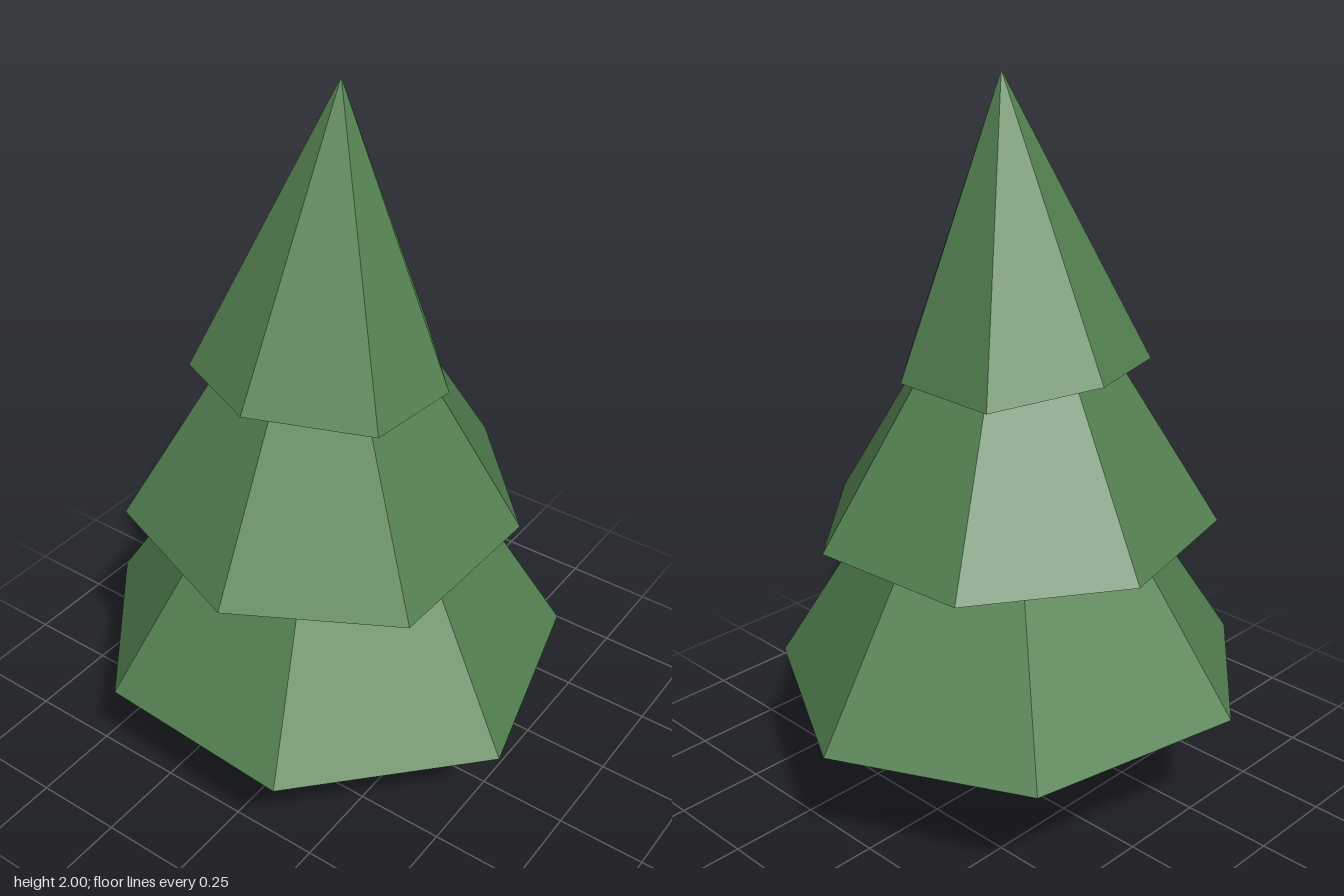
import * as THREE from 'three';

const foliage = new THREE.MeshStandardMaterial({ color: 0x558252 });
foliage.name = 'pine green';
const bark = new THREE.MeshStandardMaterial({ color: 0x86664a });
bark.name = 'bark brown';

// Irregular closed cone: rim corners run clockwise seen from above
function irregularCone(name, apex, rim) {
  const n = rim.length;
  const centre = [0, 1, 2].map(k => rim.reduce((sum, p) => sum + p[k], 0) / n);
  const positions = [];
  rim.forEach((a, i) => {
    const b = rim[(i + 1) % n];
    positions.push(...b, ...a, ...apex); // sloping side
    positions.push(...a, ...b, ...centre); // underside
  });
  const geometry = new THREE.BufferGeometry();
  geometry.setAttribute('position', new THREE.Float32BufferAttribute(positions, 3));
  geometry.computeVertexNormals(); // unshared corners give flat faces
  const mesh = new THREE.Mesh(geometry, foliage);
  mesh.name = name;
  return mesh;
}

export function createModel() {
  const tree = new THREE.Group();
  tree.name = 'pineTree';

  // Tapered five-sided trunk, slightly off centre
  const trunkGeometry = new THREE.CylinderGeometry(0.073, 0.092, 0.45, 5).toNonIndexed();
  trunkGeometry.computeVertexNormals();
  const trunk = new THREE.Mesh(trunkGeometry, bark);
  trunk.name = 'trunk';
  trunk.rotation.y = Math.PI;
  trunk.position.set(-0.033, 0.225, -0.013);
  tree.add(trunk);

  // Three overlapping seven-sided tiers
  tree.add(irregularCone('lowerBranches', [-0.02, 1.4, 0], [
    [-0.19, 0.38, -0.66], [0.4, 0.362, -0.52], [0.64, 0.35, 0], [0.37, 0.362, 0.5],
    [-0.215, 0.368, 0.655], [-0.64, 0.362, 0.245], [-0.615, 0.37, -0.32],
  ]));
  tree.add(irregularCone('middleBranches', [-0.04, 1.69, -0.02], [
    [0.06, 0.815, -0.54], [0.45, 0.815, -0.29], [0.49, 0.82, 0.155], [0.15, 0.815, 0.47],
    [-0.345, 0.805, 0.45], [-0.575, 0.805, 0.035], [-0.405, 0.81, -0.425],
  ]));
  tree.add(irregularCone('topBranches', [-0.005, 2, 0], [
    [0.01, 1.28, -0.365], [0.285, 1.25, -0.235], [0.275, 1.247, 0.08], [0.04, 1.23, 0.3],
    [-0.235, 1.235, 0.275], [-0.38, 1.255, -0.03], [-0.28, 1.265, -0.275],
  ]));

  return tree;
}
